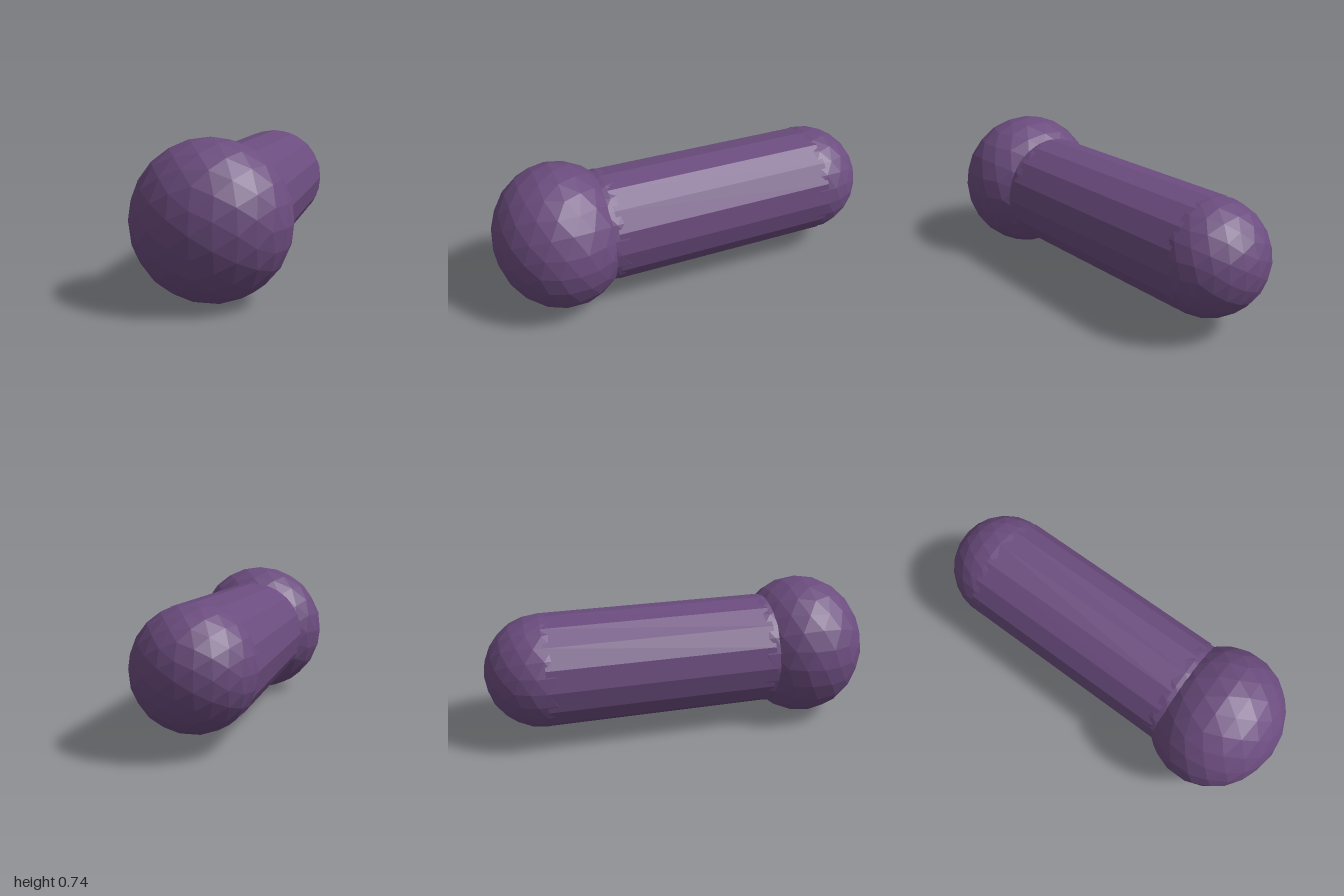
import * as THREE from 'three';

const material = new THREE.MeshStandardMaterial({ color: 0x6b4c7e, flatShading: true });
const CENTRE_Y = 0.369;
const SHAFT_R = 0.287;
const SHAFT_FRONT = 0.44;
const SHAFT_BACK = -0.713;

// Unit icosahedron whose triangles are halved repeatedly and pushed out to the sphere
function icosphere(levels) {
  const p = new THREE.IcosahedronGeometry(1, 0).getAttribute('position');
  let corners = [];
  for (let i = 0; i < p.count; i++) corners.push(new THREE.Vector3().fromBufferAttribute(p, i));
  for (let level = 0; level < levels; level++) {
    const next = [];
    for (let i = 0; i < corners.length; i += 3) {
      const [a, b, c] = corners.slice(i, i + 3);
      const mid = (u, v) => u.clone().add(v).normalize();
      const ab = mid(a, b), bc = mid(b, c), ca = mid(c, a);
      next.push(a, ab, ca, ab, b, bc, ca, bc, c, ab, bc, ca);
    }
    corners = next;
  }
  const geometry = new THREE.BufferGeometry().setFromPoints(corners);
  geometry.computeVertexNormals();
  return geometry;
}

export function createModel() {
  const group = new THREE.Group();
  group.name = 'knobbedRod';
  const ball = icosphere(2);

  const add = (name, geometry, z) => {
    const mesh = new THREE.Mesh(geometry, material);
    mesh.name = name;
    mesh.position.set(0, CENTRE_Y, z);
    group.add(mesh);
    return mesh;
  };

  // Large front knob, slightly flattened along its length
  add('knob', ball, 0.669).scale.set(0.368, 0.368, 0.331);

  // Sixteen-sided shaft, rounded at both ends
  const shaft = new THREE.CylinderGeometry(SHAFT_R, SHAFT_R, SHAFT_FRONT - SHAFT_BACK, 16, 1, true);
  shaft.rotateX(Math.PI / 2);
  add('shaft', shaft, (SHAFT_FRONT + SHAFT_BACK) / 2);
  add('shaftFrontEnd', ball, SHAFT_FRONT).scale.setScalar(SHAFT_R);
  add('shaftBackEnd', ball, SHAFT_BACK).scale.setScalar(SHAFT_R);

  return group;
}
